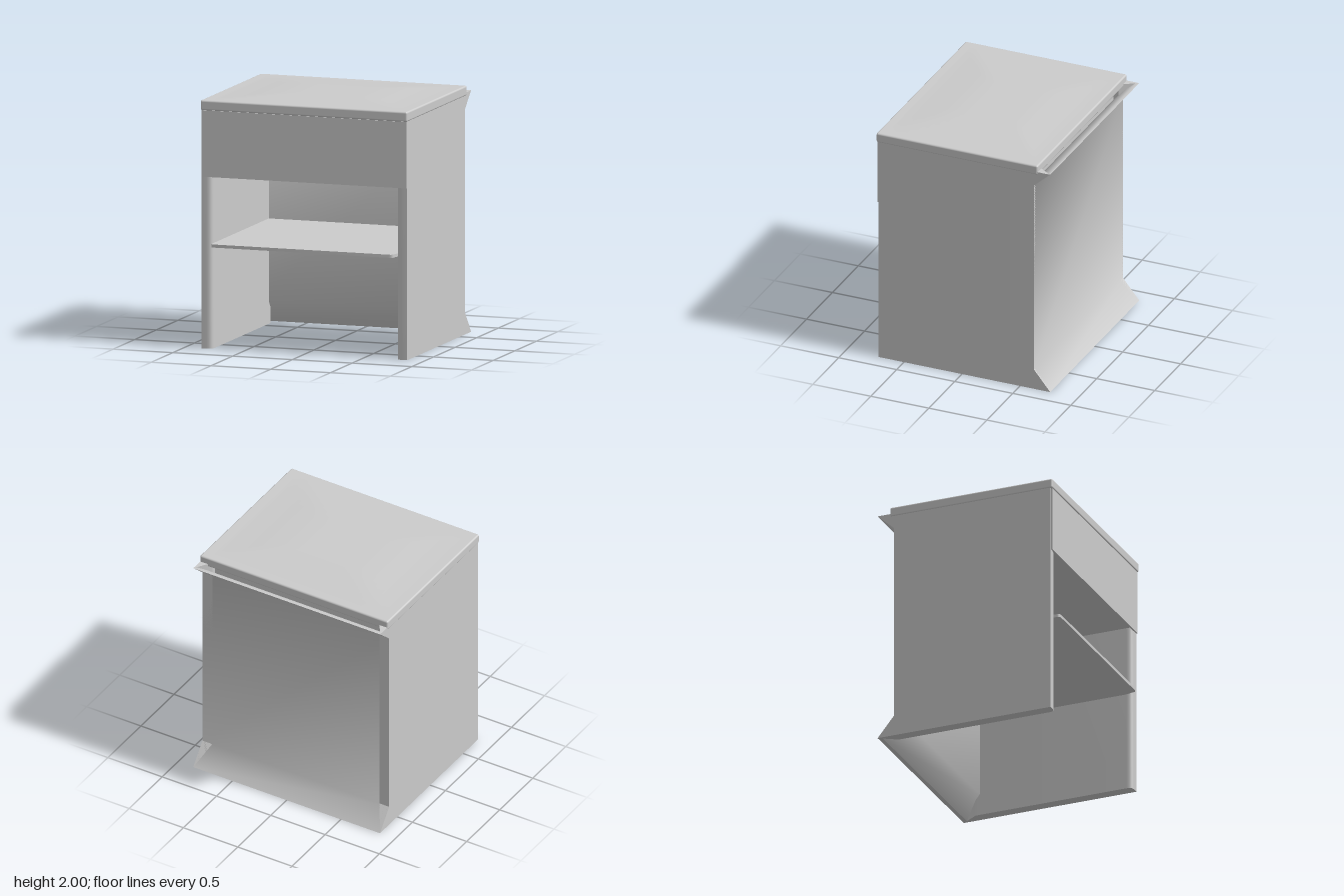
import * as THREE from 'three';
import { toCreasedNormals } from 'three/addons/utils/BufferGeometryUtils.js';
import { RoundedBoxGeometry } from 'three/addons/geometries/RoundedBoxGeometry.js';
import { ConvexGeometry } from 'three/addons/geometries/ConvexGeometry.js';

const material = new THREE.MeshStandardMaterial({ color: 0xcccccc, side: THREE.DoubleSide });

export function createModel() {
  const group = new THREE.Group();
  const add = (name, geometry, x = 0, y = 0, z = 0) => {
    const mesh = new THREE.Mesh(geometry, material);
    mesh.name = name;
    mesh.position.set(x, y, z);
    group.add(mesh);
  };
  const box = (name, x0, x1, y0, y1, z0, z1) =>
    add(name, new THREE.BoxGeometry(x1 - x0, y1 - y0, z1 - z0),
      (x0 + x1) / 2, (y0 + y1) / 2, (z0 + z1) / 2);
  // Plan outline (x, -z) raised along y
  const raise = (shape, height) => toCreasedNormals(
    new THREE.ExtrudeGeometry(shape, { depth: height, bevelEnabled: false, curveSegments: 6 })
      .rotateX(-Math.PI / 2), 0.6);

  for (const s of [-1, 1]) {
    const side = s > 0 ? 'left' : 'right';
    // Side panel with a rounded inner front edge
    const plan = new THREE.Shape();
    plan.moveTo(s * 0.86, -0.72);
    plan.lineTo(s * 0.82, -0.72);
    plan.quadraticCurveTo(s * 0.77, -0.72, s * 0.77, -0.67);
    plan.lineTo(s * 0.77, 0.62);
    plan.lineTo(s * 0.86, 0.62);
    add(side + 'SidePanel', raise(plan, 1.92));

    // Mitred wedges closing the flares at the back corners
    for (const [end, y0, y1] of [['Bottom', 0, 0.17], ['Top', 1.925, 1.8]]) {
      add(side + end + 'FlareCorner', new ConvexGeometry([
        [0.86, y0, -0.62], [0.86, y1, -0.62], [0.86, y0, -0.76],
        [0.77, y0, -0.62], [0.77, y1, -0.62],
      ].map(([x, y, z]) => new THREE.Vector3(s * x, y, z))));
    }
  }

  // Back panel, flared outwards at top and bottom: profile in (z, y)
  const profile = new THREE.Shape([
    [-0.76, 0], [-0.62, 0.17], [-0.62, 1.8], [-0.76, 1.925],
    [-0.735, 1.925], [-0.66, 1.87], [-0.585, 1.79], [-0.585, 0.18], [-0.725, 0],
  ].map(([z, y]) => new THREE.Vector2(z, y)));
  const back = new THREE.ExtrudeGeometry(profile, { depth: 1.72, bevelEnabled: false });
  back.rotateY(-Math.PI / 2).translate(0.86, 0, 0);
  add('backPanel', toCreasedNormals(back, 0.9));

  // Lid slab with a shallow raised crown
  add('lid', new RoundedBoxGeometry(1.73, 0.08, 1.39, 3, 0.014), 0, 1.94, 0.042);
  const crown = new THREE.PlaneGeometry(1.7, 1.36, 24, 24).rotateX(-Math.PI / 2);
  const p = crown.attributes.position;
  for (let i = 0; i < p.count; i++) {
    const d = Math.max(Math.abs(p.getX(i)) / 0.85, Math.abs(p.getZ(i)) / 0.68);
    p.setY(i, 0.021 * (1 - THREE.MathUtils.smoothstep(d, 0.3, 1)));
  }
  crown.computeVertexNormals();
  add('lidCrown', crown, 0, 1.979, 0.042);

  // Drawer front overlapping the legs, with its box behind
  box('drawerFront', -0.85, 0.855, 1.37, 1.9, 0.715, 0.731);
  box('drawerBox', -0.77, 0.77, 1.39, 1.89, -0.58, 0.715);

  // Thin shelf with rounded front corners
  const shelf = new THREE.Shape();
  shelf.moveTo(-0.77, 0.59);
  shelf.lineTo(-0.77, -0.735);
  shelf.quadraticCurveTo(-0.77, -0.762, -0.74, -0.762);
  shelf.lineTo(0.72, -0.762);
  shelf.quadraticCurveTo(0.755, -0.762, 0.755, -0.735);
  shelf.lineTo(0.77, -0.66);
  shelf.lineTo(0.77, 0.59);
  add('shelf', raise(shelf, 0.025), 0, 0.815, 0);

  return group;
}
